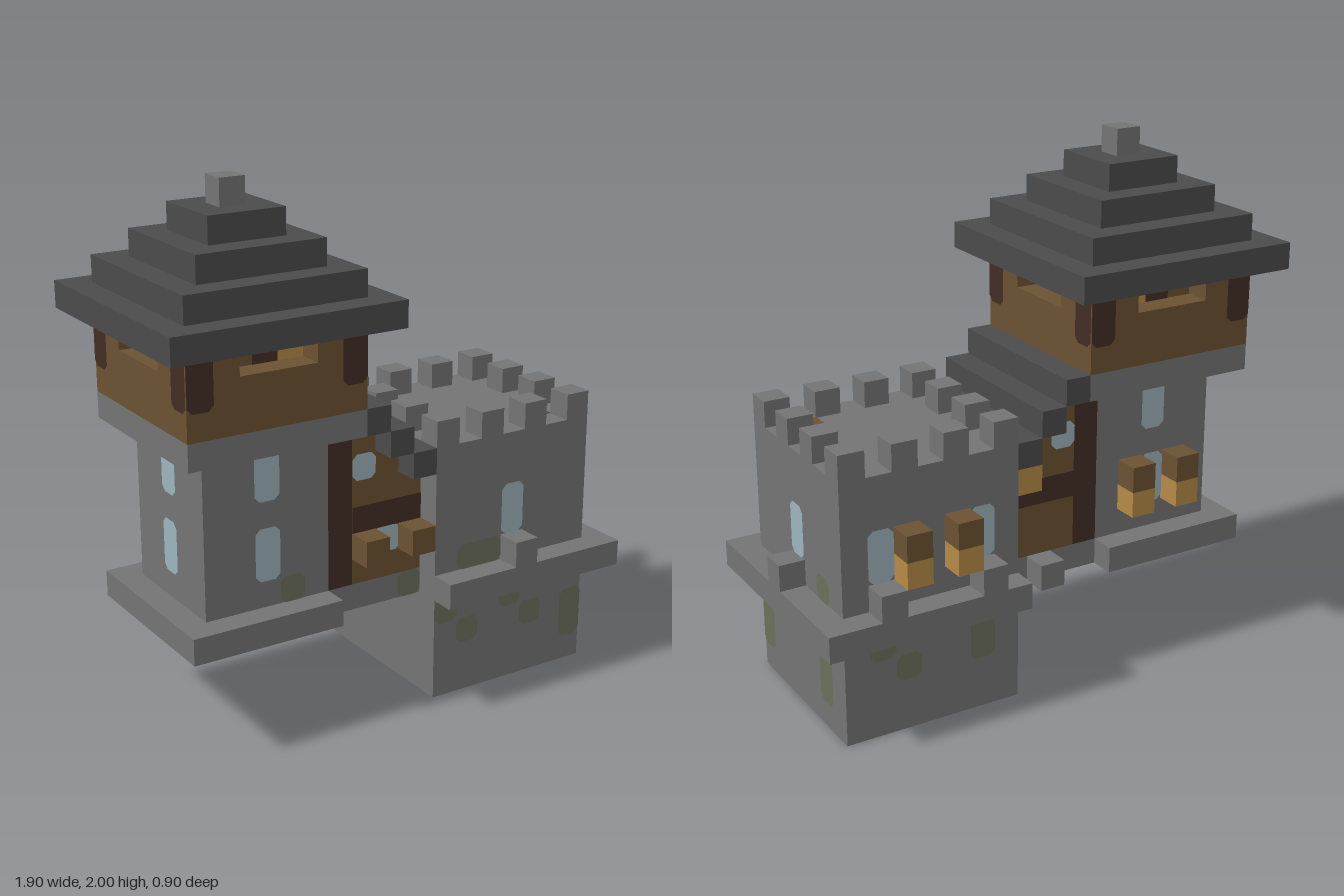
import * as THREE from 'three';

const material = (name, color) => {
  const m = new THREE.MeshStandardMaterial({ color });
  m.name = name;
  return m;
};

export function createModel() {
  const model = new THREE.Group();
  model.name = 'twinTowerCastle';
  const stone = material('stone', 0x747474);
  const slate = material('slate', 0x4b4b4b);
  const wood = material('wood', 0x6b5232);
  const darkWood = material('dark wood', 0x432c23);
  const glow = material('lantern glow', 0xb58a46);
  const glass = material('window glass', 0x9db4bc);
  const moss = material('moss', 0x6a7059);

  const section = (name) => {
    const g = new THREE.Group();
    g.name = name;
    model.add(g);
    return g;
  };

  // Block given by its extents along each axis
  const block = (parent, name, mat, x0, x1, y0, y1, z0, z1) => {
    const mesh = new THREE.Mesh(new THREE.BoxGeometry(x1 - x0, y1 - y0, z1 - z0), mat);
    mesh.position.set((x0 + x1) / 2, (y0 + y1) / 2, (z0 + z1) / 2);
    mesh.name = name;
    parent.add(mesh);
    return mesh;
  };

  // Flat panel on a wall; side 0 = front, 1 = +x, 2 = back, 3 = -x.
  // u is the x or z coordinate of its centre, d the wall's distance from the origin plane.
  const panel = (parent, name, mat, side, u, y0, y1, d, w = 0.1, c = 0.02) => {
    const a = w / 2, h = (y1 - y0) / 2;
    const s = new THREE.Shape([
      [-a + c, -h], [a - c, -h], [a, -h + c], [a, h - c],
      [a - c, h], [-a + c, h], [-a, h - c], [-a, -h + c],
    ].map(([x, y]) => new THREE.Vector2(x, y)));
    const mesh = new THREE.Mesh(new THREE.ShapeGeometry(s), mat);
    const e = d + ((side === 0 || side === 1) ? 0.003 : -0.003);
    const y = (y0 + y1) / 2;
    if (side % 2 === 0) mesh.position.set(u, y, e);
    else mesh.position.set(e, y, u);
    mesh.rotation.y = [0, Math.PI / 2, Math.PI, -Math.PI / 2][side];
    mesh.name = name;
    parent.add(mesh);
  };

  // Hanging lantern with a wooden cap
  const lantern = (parent, x, z, y = 0.6) => {
    block(parent, 'lanternLight', glow, x - 0.05, x + 0.05, y, y + 0.1, z - 0.05, z + 0.05);
    block(parent, 'lanternCap', wood, x - 0.05, x + 0.05, y + 0.1, y + 0.2, z - 0.05, z + 0.05);
  };

  // Battlement tower
  const keep = section('battlementTower');
  block(keep, 'base', stone, 0.15, 0.85, 0, 0.4, -0.35, 0.35);
  block(keep, 'ledge', stone, 0.15, 0.95, 0.4, 0.5, -0.45, 0.45);
  block(keep, 'walls', stone, 0.15, 0.85, 0.5, 1.0, -0.35, 0.35);
  for (let i = 0; i < 4; i++) {
    for (let j = 0; j < 4; j++) {
      if (i % 3 && j % 3) continue;
      const x = 0.15 + i * 0.2, z = -0.35 + j * 0.2;
      block(keep, 'merlon', stone, x, x + 0.1, 1.0, 1.1, z, z + 0.1);
    }
  }
  block(keep, 'trapdoor', wood, 0.65, 0.75, 1.0, 1.004, 0.15, 0.25);
  panel(keep, 'frontWindow', glass, 0, 0.5, 0.6, 0.8, 0.35);
  panel(keep, 'sideWindow', glass, 1, 0, 0.6, 0.8, 0.85);
  block(keep, 'frontSill', stone, 0.45, 0.55, 0.5, 0.6, 0.35, 0.45);
  block(keep, 'sideSill', stone, 0.85, 0.95, 0.5, 0.6, -0.05, 0.05);
  for (const x of [0.3, 0.7]) {
    panel(keep, 'backWindow', glass, 2, x, 0.6, 0.8, -0.35);
    block(keep, 'backSill', stone, x - 0.05, x + 0.05, 0.5, 0.6, -0.45, -0.35);
  }
  for (const x of [0.4, 0.6]) lantern(keep, x, -0.4);

  // Tall tower
  const tall = section('tallTower');
  block(tall, 'ledge', stone, -0.85, -0.25, 0.4, 0.5, -0.35, 0.35);
  block(tall, 'walls', stone, -0.75, -0.25, 0.5, 1.1, -0.25, 0.25);
  block(tall, 'belt', stone, -0.85, -0.15, 1.1, 1.2, -0.35, 0.35);
  for (const y of [0.6, 0.9]) {
    panel(tall, 'frontWindow', glass, 0, -0.5, y, y + 0.2, 0.25);
    panel(tall, 'backWindow', glass, 2, -0.5, y, y + 0.2, -0.25);
    panel(tall, 'sideWindow', glass, 3, 0, y, y + 0.2, -0.75);
  }
  for (const x of [-0.4, -0.6]) lantern(tall, x, -0.3);

  // Timber storey with a recessed slot in each wall
  const loft = section('timberLoft');
  block(loft, 'lowerWalls', wood, -0.85, -0.15, 1.2, 1.4, -0.35, 0.35);
  block(loft, 'core', wood, -0.75, -0.25, 1.4, 1.5, -0.25, 0.25);
  for (const sx of [-1, 1]) {
    for (const sz of [-1, 1]) {
      const cx = -0.5 + sx * 0.25, cz = sz * 0.25;
      block(loft, 'cornerWall', wood, cx - 0.1, cx + 0.1, 1.4, 1.5, cz - 0.1, cz + 0.1);
    }
  }
  for (const s of [-1, 1]) {
    const side = s > 0 ? 0 : 2, flank = s > 0 ? 1 : 3;
    for (const t of [-1, 1]) {
      panel(loft, 'cornerPost', darkWood, side, -0.5 + t * 0.3, 1.3, 1.5, s * 0.35);
      panel(loft, 'cornerPost', darkWood, flank, t * 0.3, 1.3, 1.5, -0.5 + s * 0.35);
      panel(loft, 'slotLight', glow, flank, t * 0.1, 1.4, 1.5, -0.5 + s * 0.25, 0.1, 0);
    }
    panel(loft, 'slotShadow', darkWood, side, -0.5, 1.4, 1.5, s * 0.25, 0.1, 0);
    panel(loft, 'slotLight', glow, side, -0.4, 1.4, 1.5, s * 0.25, 0.1, 0);
  }

  // Stepped pyramid roof
  const roof = section('steppedRoof');
  for (let i = 0; i < 4; i++) {
    const r = 0.45 - i * 0.1, y = 1.5 + i * 0.1;
    block(roof, 'roofStep', slate, -0.5 - r, -0.5 + r, y, y + 0.1, -r, r);
  }
  block(roof, 'finial', stone, -0.55, -0.45, 1.9, 2.0, -0.05, 0.05);

  // Timber bridge house under a stair-shaped roof
  const bridge = section('bridgeHouse');
  block(bridge, 'floor', stone, -0.25, 0.15, 0.4, 0.5, -0.25, 0.25);
  block(bridge, 'floorHatch', wood, -0.25, -0.05, 0.396, 0.4, -0.1, 0.1);
  block(bridge, 'cornerColumn', darkWood, -0.25, -0.15, 0.5, 1.1, -0.25, 0.25);
  for (let i = 0; i < 3; i++) {
    const x = -0.15 + i * 0.1, top = 1.1 - i * 0.1;
    block(bridge, 'wall', wood, x, x + 0.1, 0.5, top, -0.25, 0.25);
    block(bridge, 'roofStep', slate, x, x + 0.1, top, top + 0.1, -0.35, 0.35);
  }
  for (const s of [-1, 1]) {
    const side = s > 0 ? 0 : 2;
    panel(bridge, 'beam', darkWood, side, 0, 0.7, 0.8, s * 0.25, 0.3, 0);
    panel(bridge, 'upperWindow', glass, side, -0.1, 0.9, 1.0, s * 0.25);
  }
  panel(bridge, 'lowerWindow', glass, 0, 0, 0.6, 0.7, 0.25, 0.1, 0.01);
  for (const x of [-0.1, 0.1]) {
    block(bridge, 'flowerBox', wood, x - 0.05, x + 0.05, 0.6, 0.7, 0.25, 0.35);
  }
  block(bridge, 'lanternLight', glow, 0.05, 0.15, 0.8, 0.9, -0.35, -0.25);
  block(bridge, 'backStep', stone, -0.05, 0.05, 0.4, 0.5, -0.35, -0.25);

  // Moss: side, centre, bottom, top, wall distance, width
  const growth = section('mossPatches');
  [
    [0, 0.2, 0.3, 0.4, 0.35], [0, 0.3, 0.2, 0.3, 0.35], [0, 0.5, 0.3, 0.4, 0.35],
    [0, 0.6, 0.2, 0.3, 0.35], [0, 0.8, 0.1, 0.3, 0.35], [0, 0.35, 0.5, 0.6, 0.35, 0.2],
    [0, -0.4, 0.5, 0.6, 0.25], [0, 0.1, 0.4, 0.5, 0.25],
    [1, 0.3, 0.1, 0.3, 0.85], [1, 0.2, 0.3, 0.4, 0.85], [1, -0.1, 0.3, 0.4, 0.85],
    [1, -0.2, 0.1, 0.4, 0.85], [1, -0.2, 0.5, 0.6, 0.85],
    [2, 0.7, 0.3, 0.4, -0.35], [2, 0.6, 0.2, 0.3, -0.35], [2, 0.3, 0.2, 0.4, -0.35],
  ].forEach(([side, u, y0, y1, d, w]) => panel(growth, 'mossPatch', moss, side, u, y0, y1, d, w));

  return model;
}
